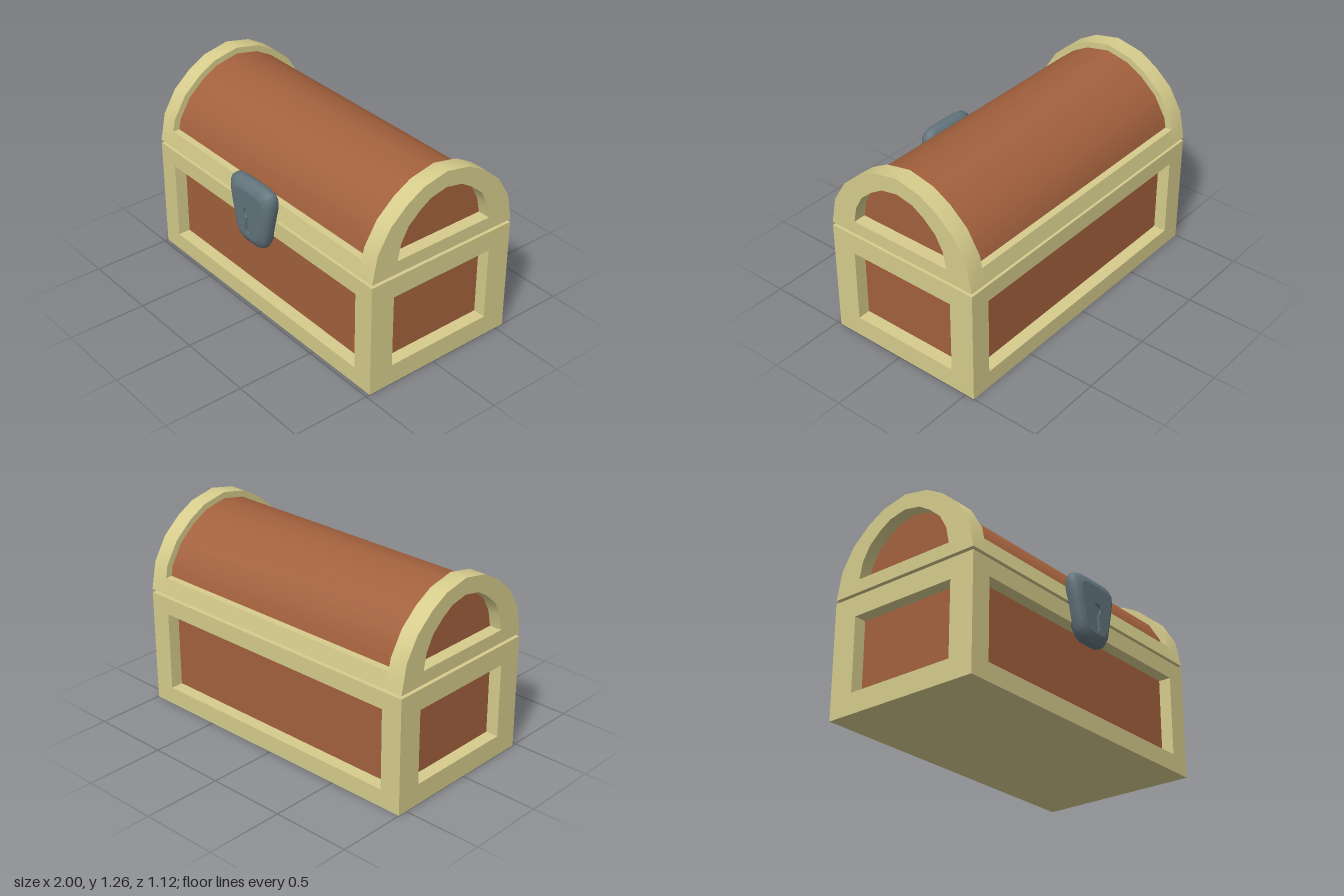
import * as THREE from 'three';
import { toCreasedNormals } from 'three/addons/utils/BufferGeometryUtils.js';

const trim = new THREE.MeshStandardMaterial({ color: 0xd6cc8c });
trim.name = 'paleTrim';
const wood = new THREE.MeshStandardMaterial({ color: 0xa3613d });
wood.name = 'brownWood';
const metal = new THREE.MeshStandardMaterial({ color: 0x62747c });
metal.name = 'slateMetal';

const DEPTH = 1.035, HALF_D = DEPTH / 2, BODY_H = 0.725, LID_Y = 0.745, RECESS = 0.08;

// Right half of the lid arch and of its end opening: [distance from middle, height]
const ARCH = [[0.5175, 0.745], [0.4825, 0.92], [0.3975, 1.06], [0.2825, 1.16], [0.1675, 1.225], [0, 1.26]];
const OPENING = [[0.34, 0.827], [0.318, 0.93], [0.268, 1.02], [0.188, 1.09], [0.112, 1.137], [0, 1.16]];

function add(parent, name, geometry, material, x = 0, y = 0, z = 0) {
  const mesh = new THREE.Mesh(geometry, material);
  mesh.name = name;
  mesh.position.set(x, y, z);
  parent.add(mesh);
  return mesh;
}

const toPoints = (list) => list.map(([x, y]) => new THREE.Vector2(x, y));
const mirrored = (half) => toPoints([...half, ...half.slice(0, -1).reverse().map(([x, y]) => [-x, y])]);
const rect = (hw, y0, y1) => toPoints([[hw, y0], [hw, y1], [-hw, y1], [-hw, y0]]);

// Extrude an outline with optional holes, centred on its depth
function slab(outline, depth, holes = []) {
  const shape = new THREE.Shape(outline);
  shape.holes = holes.map((h) => new THREE.Path(h));
  const geometry = new THREE.ExtrudeGeometry(shape, { depth, bevelEnabled: false });
  geometry.translate(0, 0, -depth / 2);
  return toCreasedNormals(geometry, 0.5);
}

// Closed rings lofted along z, smooth shaded
function loft(outline, layers, cy) {
  const n = outline.length, positions = [], index = [];
  for (const [z, s] of layers) {
    for (const p of outline) positions.push(p.x * s, cy + (p.y - cy) * s, z);
  }
  for (let k = 0; k < layers.length - 1; k++) {
    for (let i = 0; i < n; i++) {
      const a = k * n + i, b = k * n + (i + 1) % n;
      index.push(a, b, b + n, a, b + n, a + n);
    }
  }
  const geometry = new THREE.BufferGeometry();
  geometry.setAttribute('position', new THREE.Float32BufferAttribute(positions, 3));
  geometry.setIndex(index);
  geometry.computeVertexNormals();
  return geometry;
}

function buildBody() {
  const body = new THREE.Group();
  body.name = 'body';
  const innerW = 2 - 2 * RECESS, innerD = DEPTH - 2 * RECESS;
  add(body, 'bodyPanels', new THREE.BoxGeometry(innerW, 0.6, innerD), wood, 0, 0.36, 0);
  add(body, 'bottomBoard', new THREE.BoxGeometry(innerW, 0.06, innerD), trim, 0, 0.03, 0);
  add(body, 'topBoard', new THREE.BoxGeometry(innerW, 0.065, innerD), trim, 0, BODY_H - 0.0325, 0);

  const longFrame = slab(rect(1, 0, BODY_H), RECESS, [rect(0.865, 0.112, 0.617)]);
  const sideFrame = slab(rect(innerD / 2, 0, BODY_H), RECESS, [rect(0.3575, 0.13, 0.597)]).rotateY(Math.PI / 2);
  for (const s of [1, -1]) {
    add(body, s > 0 ? 'frontFrame' : 'backFrame', longFrame, trim, 0, 0, s * (HALF_D - RECESS / 2));
    add(body, s > 0 ? 'leftFrame' : 'rightFrame', sideFrame, trim, s * (1 - RECESS / 2), 0, 0);
  }
  return body;
}

function buildLid() {
  const lid = new THREE.Group();
  lid.name = 'lid';
  // Curved boards; their ends are the recessed end panels
  const barrelHalf = ARCH.map(([x, y]) => [x * 0.912, 0.75 + (y - LID_Y) * 0.912]);
  add(lid, 'lidBarrel', slab(mirrored(barrelHalf), 2 - 2 * RECESS).rotateY(Math.PI / 2), wood);

  // Long rim along front and back
  const rim = toPoints([[0.5175, LID_Y], [0.4975, 0.845], [-0.4975, 0.845], [-0.5175, LID_Y]]);
  add(lid, 'lidRim', slab(rim, 1.78).rotateY(Math.PI / 2), trim);

  const arch = slab(mirrored(ARCH), 0.11, [mirrored(OPENING)]).rotateY(Math.PI / 2);
  for (const s of [1, -1]) add(lid, s > 0 ? 'leftArch' : 'rightArch', arch, trim, s * 0.945, 0, 0);
  return lid;
}

function buildLock() {
  const lock = new THREE.Group();
  lock.name = 'lock';
  const cy = 0.7225;
  // Shield outline, counter-clockwise from the lower right
  const half = [[0.06, 0.51], [0.105, 0.53], [0.138, 0.58], [0.155, 0.66], [0.178, 0.76],
    [0.195, 0.845], [0.19, 0.895], [0.165, 0.922], [0.115, 0.935]];
  const outline = toPoints([...half, ...half.map(([x, y]) => [-x, y]).reverse()]);
  const layers = [[0.443, 0.68], [0.449, 0.8], [0.465, 0.92], [0.485, 0.99], [0.515, 0.99],
    [0.535, 0.93], [0.55, 0.82], [0.557, 0.72]];
  add(lock, 'lockCase', loft(outline, layers, cy), metal);

  const scaled = (s) => outline.map((p) => new THREE.Vector2(p.x * s, cy + (p.y - cy) * s));
  // Keyhole: a round eye over a flared slot
  const keyhole = [];
  for (let i = 0; i <= 14; i++) {
    const a = -Math.PI / 2 + 0.45 + (i / 14) * (2 * Math.PI - 0.9);
    keyhole.push(new THREE.Vector2(0.036 * Math.cos(a), 0.73 + 0.036 * Math.sin(a)));
  }
  keyhole.push(...toPoints([[-0.02, 0.61], [-0.012, 0.595], [0.012, 0.595], [0.02, 0.61]]));
  add(lock, 'lockFace', slab(scaled(0.72), 0.014, [keyhole]), metal, 0, 0, 0.55);
  add(lock, 'keyholeFloor', new THREE.ShapeGeometry(new THREE.Shape(scaled(0.7))), metal, 0, 0, 0.544);

  const back = new THREE.ShapeGeometry(new THREE.Shape(scaled(0.68))).rotateY(Math.PI);
  add(lock, 'lockBack', back, metal, 0, 0, 0.443);
  return lock;
}

export function createModel() {
  const chest = new THREE.Group();
  chest.name = 'chest';

  const box = new THREE.Group();
  box.name = 'box';
  box.position.z = -0.0425;
  box.add(buildBody(), buildLid());
  // Metal strip in the gap between body and lid
  add(box, 'gapStrip', new THREE.BoxGeometry(1.85, 0.04, 0.953), metal, 0, 0.735, 0);

  chest.add(box, buildLock());
  return chest;
}
